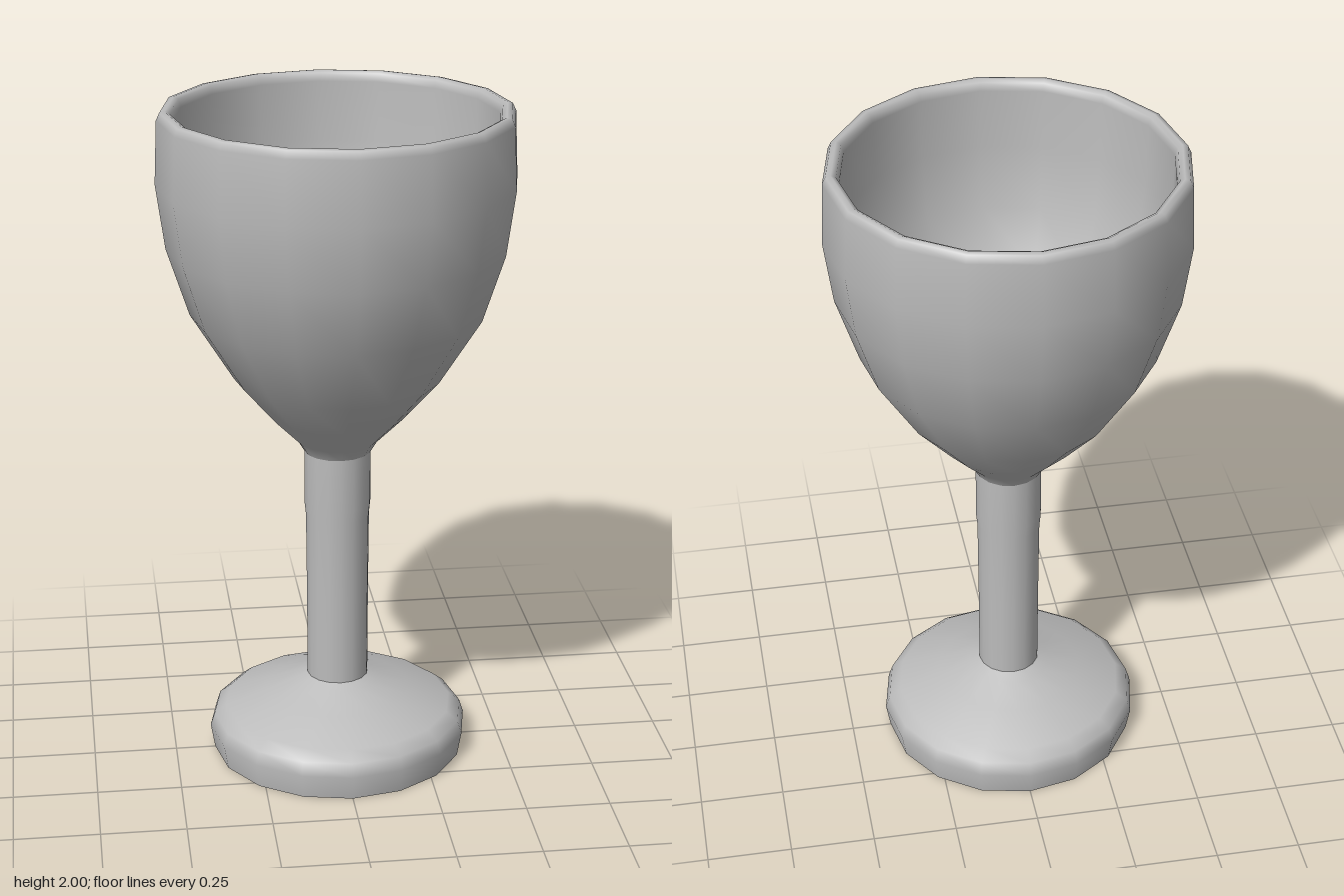
import * as THREE from 'three';

const SIDES = 16;

export function createModel() {
  const group = new THREE.Group();
  group.name = 'goblet';
  const grey = new THREE.MeshStandardMaterial({ color: 0xbcbcbc });
  grey.name = 'grey';

  // Turned part: [radius, height] pairs, going up the outside
  const turn = (name, profile) => {
    const points = profile.map(([r, y]) => new THREE.Vector2(r, y));
    const mesh = new THREE.Mesh(new THREE.LatheGeometry(points, SIDES), grey);
    mesh.name = name;
    group.add(mesh);
  };

  // Flat underside
  turn('footUnderside', [[0, 0], [0.38, 0]]);

  // Rounded, sloping foot
  turn('foot', [
    [0.38, 0], [0.393, 0.075], [0.38, 0.115], [0.345, 0.143],
    [0.22, 0.188], [0.125, 0.225], [0.09, 0.24],
  ]);

  // Stem, slightly thicker toward the bowl
  turn('stem', [[0.092, 0.235], [0.093, 0.5], [0.095, 0.76], [0.099, 0.8], [0.099, 0.97]]);

  // Bowl: outer wall, rounded rim, then down the inner wall
  turn('bowl', [
    [0.099, 0.965], [0.12, 1.0], [0.2, 1.08], [0.305, 1.2], [0.43, 1.4],
    [0.495, 1.6], [0.521, 1.79], [0.513, 1.975], [0.503, 1.997],
    [0.488, 2.0], [0.474, 1.993], [0.467, 1.97],
    [0.466, 1.79], [0.442, 1.6], [0.378, 1.41], [0.265, 1.23],
    [0.15, 1.12], [0.07, 1.075], [0, 1.06],
  ]);

  return group;
}
